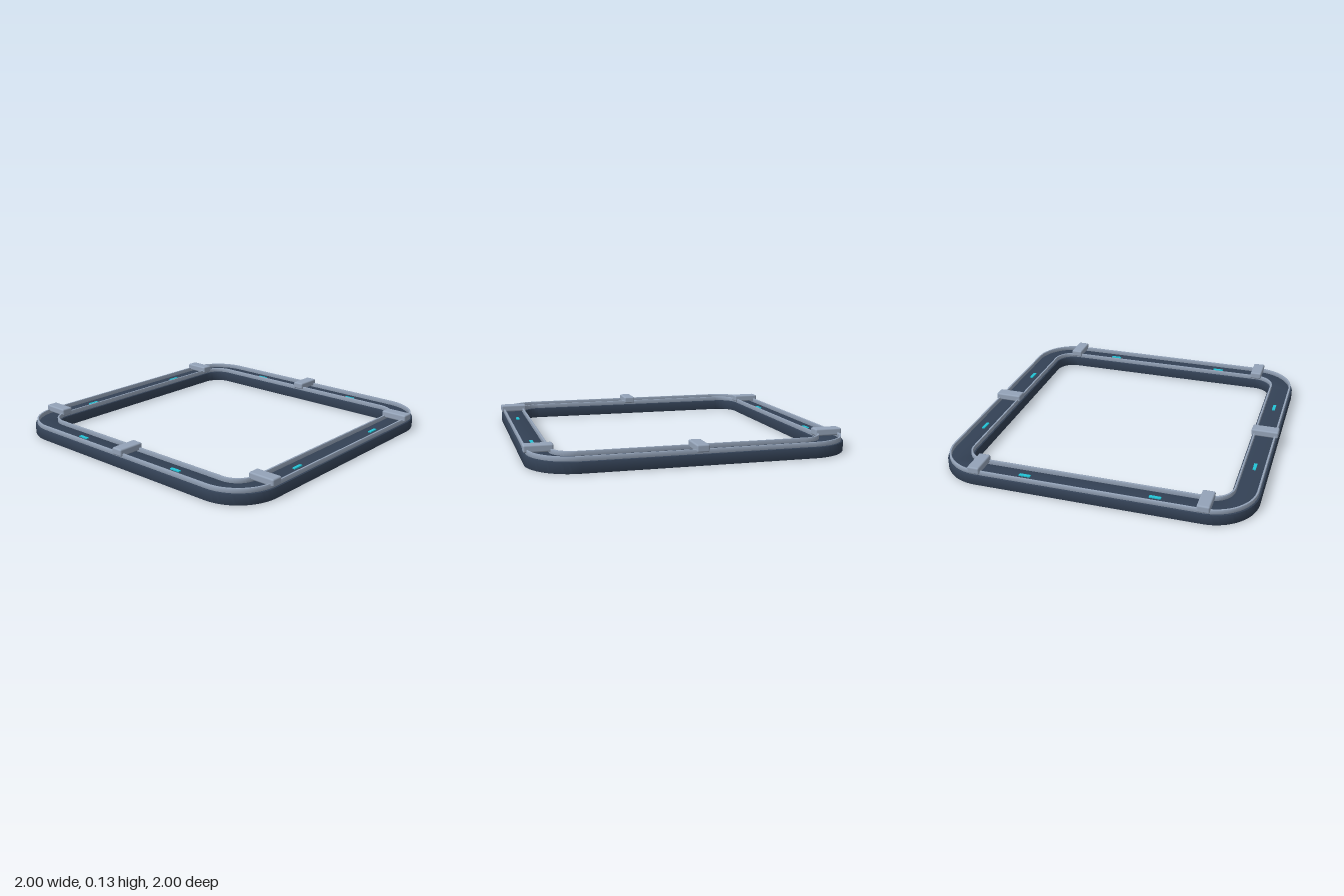
import * as THREE from 'three';
import { toCreasedNormals } from 'three/addons/utils/BufferGeometryUtils.js';
import { RoundedBoxGeometry } from 'three/addons/geometries/RoundedBoxGeometry.js';

const CORNER = 0.71; // centre of every corner arc
const MID = 0.912;   // centre line of the track

// Rounded square of half-size h; all outlines share the same corner centres
function outline(h, PathType) {
  const p = new PathType();
  const c = CORNER, r = h - c;
  p.moveTo(c, -h);
  p.absarc(c, -c, r, -Math.PI / 2, 0, false);
  p.absarc(c, c, r, 0, Math.PI / 2, false);
  p.absarc(-c, c, r, Math.PI / 2, Math.PI, false);
  p.absarc(-c, -c, r, Math.PI, Math.PI * 1.5, false);
  p.closePath();
  return p;
}

// Closed ring between two outlines, from y0 up to y1, with bevelled edges
function ring(outer, inner, y0, y1, bevel) {
  const shape = outline(outer, THREE.Shape);
  shape.holes.push(outline(inner, THREE.Path));
  const geo = new THREE.ExtrudeGeometry(shape, {
    depth: y1 - y0 - 2 * bevel,
    bevelEnabled: true,
    bevelThickness: bevel,
    bevelSize: bevel,
    bevelOffset: -bevel,
    bevelSegments: 2,
    curveSegments: 16,
  });
  geo.rotateX(-Math.PI / 2);
  geo.translate(0, y0 + bevel, 0);
  return toCreasedNormals(geo, 0.6);
}

export function createModel() {
  const model = new THREE.Group();
  model.name = 'squareTrack';

  const material = (name, color) => {
    const m = new THREE.MeshStandardMaterial({ color });
    m.name = name;
    return m;
  };
  const slate = material('dark slate', 0x334155);
  const steel = material('light steel', 0x94a3b8);
  const cyan = material('cyan', 0x22c4d6);

  const add = (name, geo, mat, x = 0, y = 0, z = 0, turn = 0) => {
    const mesh = new THREE.Mesh(geo, mat);
    mesh.name = name;
    mesh.position.set(x, y, z);
    mesh.rotation.y = turn;
    model.add(mesh);
  };

  // Track bed and the two guide rails on it
  add('trackBed', ring(0.997, 0.826, 0, 0.07, 0.008), slate);
  add('outerRail', ring(0.985, 0.973, 0.066, 0.098, 0.002), steel);
  add('innerRail', ring(0.85, 0.838, 0.066, 0.098, 0.002), steel);

  // Clamps across the track: one mid-way on each side, two on front and back
  const clamp = new RoundedBoxGeometry(0.176, 0.046, 0.078, 2, 0.01);
  for (const s of [-1, 1]) {
    add('sideClamp', clamp, steel, s * MID, 0.103, 0);
    for (const x of [-0.712, 0.712]) {
      add('endClamp', clamp, steel, x, 0.103, s * MID, Math.PI / 2);
    }
  }

  // Marker lights set on the bed, two per side
  const marker = new THREE.BoxGeometry(0.072, 0.008, 0.02);
  for (const s of [-1, 1]) {
    for (const t of [-0.41, 0.41]) {
      add('endMarker', marker, cyan, t, 0.073, s * MID);
      add('sideMarker', marker, cyan, s * MID, 0.073, t, Math.PI / 2);
    }
  }

  return model;
}
